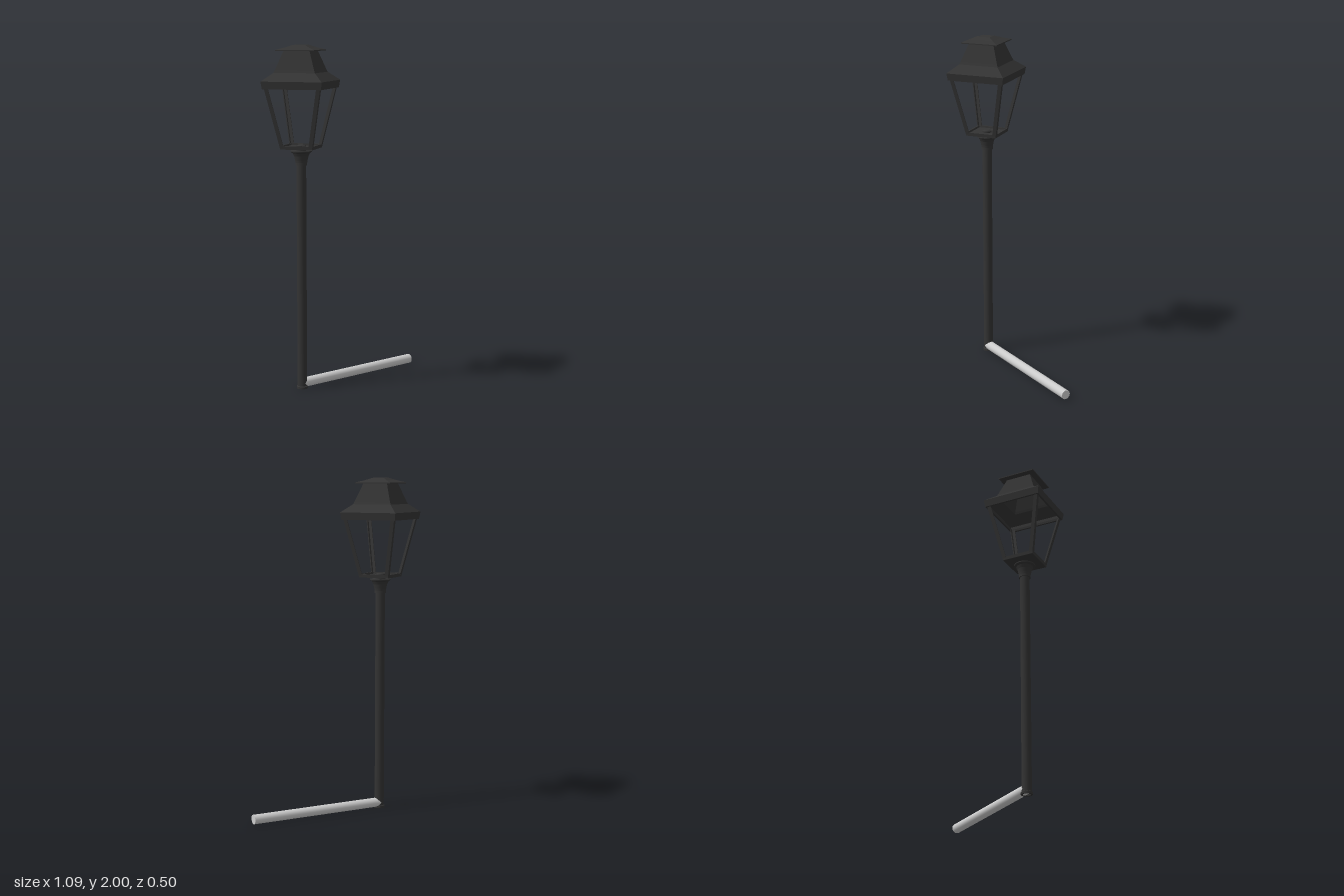
import * as THREE from 'three';

const dark = new THREE.MeshStandardMaterial({ color: 0x333333, side: THREE.DoubleSide });
const darkFlat = new THREE.MeshStandardMaterial({ color: 0x333333, side: THREE.DoubleSide, flatShading: true });
const grey = new THREE.MeshStandardMaterial({ color: 0xcccccc });

const points = (profile) => profile.map(([r, y]) => new THREE.Vector2(r, y));

function add(parent, name, geometry, material) {
  const mesh = new THREE.Mesh(geometry, material);
  mesh.name = name;
  parent.add(mesh);
  return mesh;
}

// Four-sided shell; profile radii are measured to the corners
const square = (profile) => new THREE.LatheGeometry(points(profile), 4);

// Round stack of straight bands, each smooth around and sharp at its rims
function round(parent, name, profile) {
  const group = new THREE.Group();
  group.name = name;
  for (let i = 1; i < profile.length; i++) {
    add(group, name + 'Band', new THREE.LatheGeometry(points([profile[i - 1], profile[i]]), 24), dark);
  }
  parent.add(group);
}

// Angle-iron post leaning outward along a corner of the lantern
function postGeometry(bottomR, topR, y0, y1) {
  const leg = 0.016, t = 0.007;
  const shape = new THREE.Shape(points([
    [0, 0], [-leg, leg], [-leg - t / 2, leg - t / 2], [-t, 0],
    [-leg - t / 2, -leg + t / 2], [-leg, -leg],
  ]));
  const h = y1 - y0;
  const geo = new THREE.ExtrudeGeometry(shape, { depth: h, bevelEnabled: false });
  geo.rotateX(-Math.PI / 2);
  const p = geo.attributes.position;
  for (let i = 0; i < p.count; i++) {
    const y = p.getY(i);
    p.setXYZ(i, p.getX(i) + bottomR + (topR - bottomR) * y / h, y + y0, p.getZ(i));
  }
  geo.computeVertexNormals();
  return geo;
}

export function createModel() {
  const model = new THREE.Group();
  model.name = 'streetLamp';

  const lamp = new THREE.Group();
  lamp.name = 'lampPost';
  lamp.position.x = -0.297;
  model.add(lamp);

  // Hollow pole with a small foot flange
  round(lamp, 'foot', [[0.022, 0], [0.033, 0], [0.033, 0.012], [0.028, 0.016]]);
  round(lamp, 'pole', [[0.028, 0.005], [0.028, 1.325]]);

  // Flared collar below the lantern
  round(lamp, 'collar', [
    [0.028, 1.318], [0.034, 1.318], [0.034, 1.332], [0.036, 1.345], [0.042, 1.37],
    [0.05, 1.387], [0.062, 1.395], [0.062, 1.401], [0.03, 1.401], [0.03, 1.416],
  ]);

  // Square lantern, turned on the pole
  const lantern = new THREE.Group();
  lantern.name = 'lantern';
  lantern.rotation.y = -0.183;
  lamp.add(lantern);

  add(lantern, 'lanternFloor', square([
    [0, 1.413], [0.134, 1.413], [0.138, 1.433], [0.126, 1.433], [0.124, 1.422], [0, 1.422],
  ]), darkFlat);
  round(lantern, 'socket', [[0.027, 1.422], [0.027, 1.43], [0.015, 1.436], [0, 1.436]]);

  const post = postGeometry(0.135, 0.234, 1.42, 1.765);
  for (let i = 0; i < 4; i++) {
    add(lantern, 'cornerPost', post, darkFlat).rotation.y = i * Math.PI / 2;
  }

  // Roof shell, open below, with a folded rim
  add(lantern, 'roof', square([
    [0.226, 1.768], [0.228, 1.755], [0.244, 1.755], [0.253, 1.798], [0.172, 1.845],
    [0.164, 1.858], [0.108, 1.967],
  ]), darkFlat);

  // Overhanging cap
  add(lantern, 'cap', square([
    [0.1, 1.966], [0.16, 1.966], [0.16, 1.972], [0.1, 1.985], [0.05, 1.999], [0, 2],
  ]), darkFlat);

  // Pale bar lying along the ground from the foot of the pole
  const bar = add(model, 'groundBar', new THREE.CylinderGeometry(0.028, 0.028, 0.842, 24), grey);
  bar.rotation.z = Math.PI / 2;
  bar.position.set(0.124, 0.032, 0);

  return model;
}
